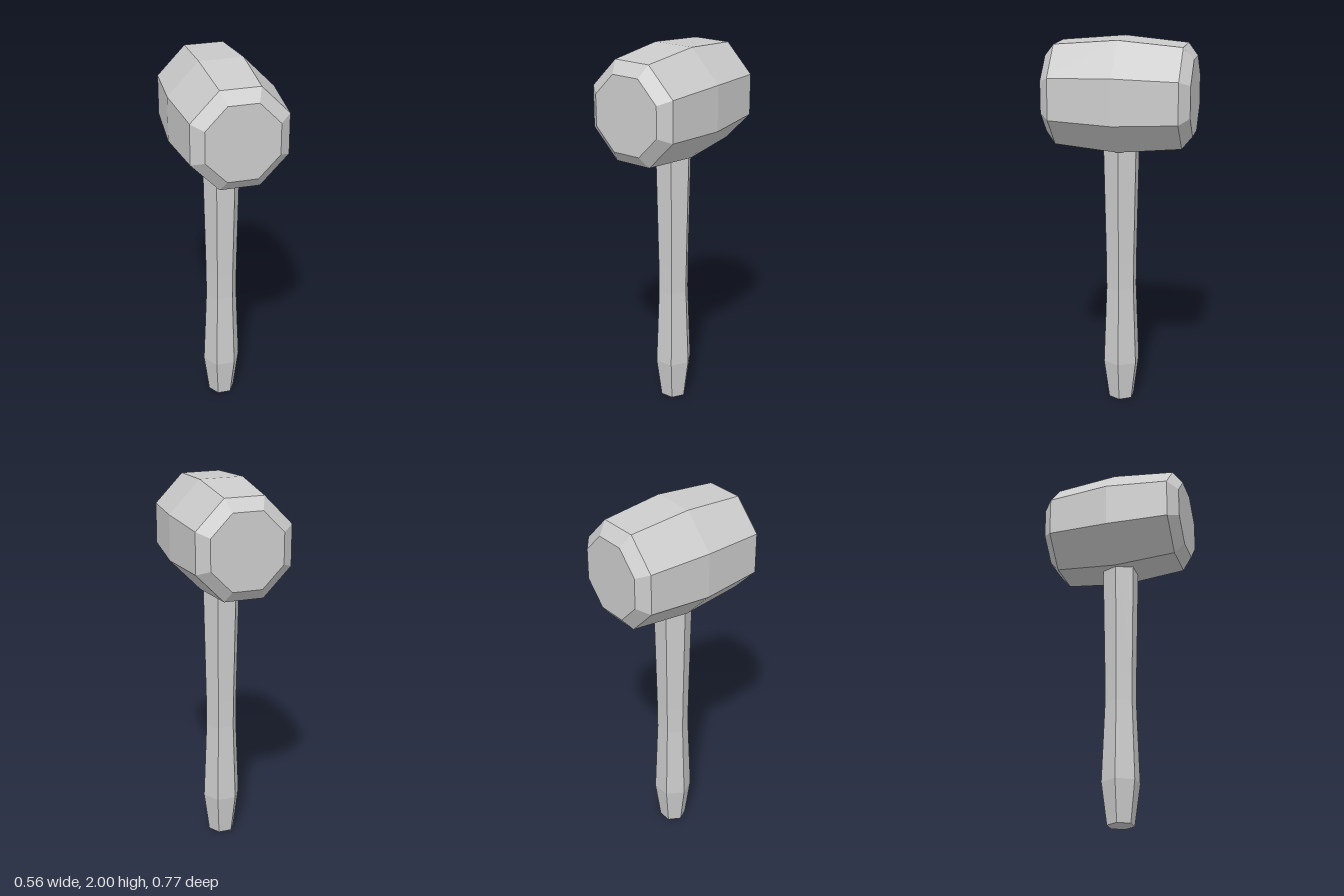
import * as THREE from 'three';

const material = new THREE.MeshStandardMaterial({ color: 0xcccccc, flatShading: true });

// Faceted solid turned from a [radius, height] profile, closed on the axis at both ends
function turned(name, profile, sides, phiStart) {
  const points = [[0, profile[0][1]], ...profile, [0, profile.at(-1)[1]]]
    .map(([r, h]) => new THREE.Vector2(r, h));
  const mesh = new THREE.Mesh(new THREE.LatheGeometry(points, sides, phiStart), material);
  mesh.name = name;
  return mesh;
}

export function createModel() {
  const group = new THREE.Group();
  group.name = 'mallet';

  // Hexagonal handle: tapered butt, swelling grip, slim waist, flat side to the front
  const handle = turned('handle', [
    [0.072, 0], [0.102, 0.22], [0.085, 0.65], [0.086, 0.8], [0.101, 1.5],
  ], 6, Math.PI / 2);
  group.add(handle);

  // Octagonal barrel head with chamfered ends; half-widths are measured across the flats
  const acrossFlats = [[0.19, -0.385], [0.25, -0.333], [0.278, 0], [0.25, 0.333], [0.19, 0.385]];
  const corner = 1 / Math.cos(Math.PI / 8);
  const head = turned('head', acrossFlats.map(([w, z]) => [w * corner, z]), 8, Math.PI / 8);
  head.geometry.rotateX(Math.PI / 2);
  head.geometry.scale(1, 1.035, 1);
  head.position.y = 1.712;
  group.add(head);

  return group;
}
